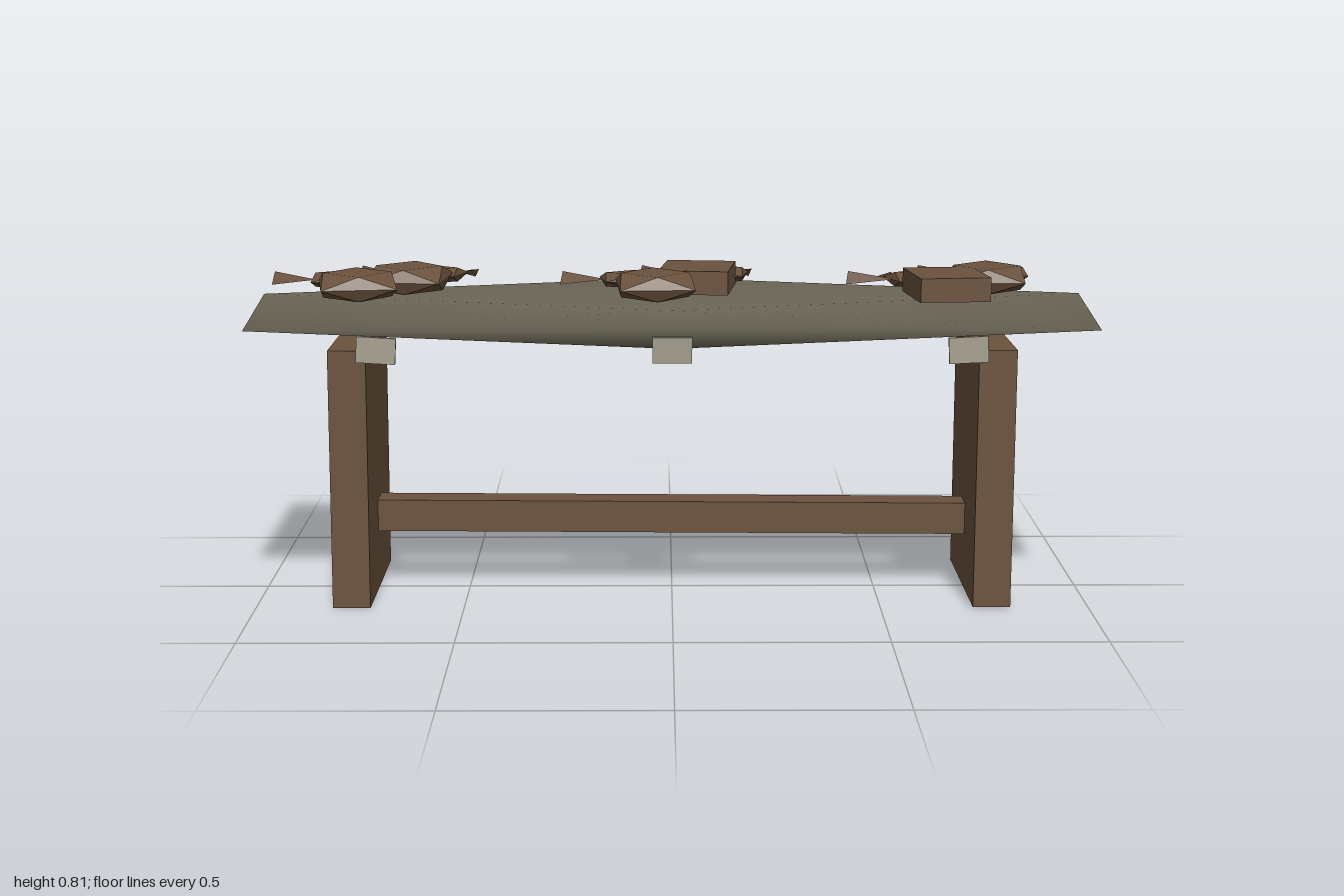
import * as THREE from 'three';
import { mergeVertices } from 'three/addons/utils/BufferGeometryUtils.js';
import { ConvexGeometry } from 'three/addons/geometries/ConvexGeometry.js';

const wood = new THREE.MeshStandardMaterial({ color: 0x6b523d });
wood.name = 'brown wood';
const stone = new THREE.MeshStandardMaterial({ color: 0x6b6656 });
stone.name = 'grey slab';
const pale = new THREE.MeshStandardMaterial({ color: 0xaaa594 });
pale.name = 'pale grey';

// Block whose corners are pinched to mid height; full thickness along the cross axes
function pinched(w, h, d) {
  const x = w / 2, y = h / 2, z = d / 2;
  const points = [];
  for (const s of [-1, 1]) {
    for (const t of [-1, 1]) {
      points.push(
        new THREE.Vector3(s * x, 0, t * z),
        new THREE.Vector3(s * (x - 0.008), t * y, 0),
        new THREE.Vector3(0, t * y, s * (z - 0.014)),
      );
    }
  }
  return new ConvexGeometry(points);
}

function add(parent, name, geometry, material, x, y, z, rx = 0, ry = 0, rz = 0) {
  const mesh = new THREE.Mesh(geometry, material);
  mesh.name = name;
  mesh.position.set(x, y, z);
  mesh.rotation.set(rx, ry, rz);
  parent.add(mesh);
  return mesh;
}

// Three-sided spike from one point to another; wide at its outer end when flared
function spike(parent, name, from, to, radius, flared) {
  const a = new THREE.Vector3(...from), b = new THREE.Vector3(...to);
  const dir = b.clone().sub(a);
  const geo = new THREE.ConeGeometry(radius, dir.length(), 3).toNonIndexed();
  geo.computeVertexNormals();
  const mesh = add(parent, name, geo, wood, 0, 0, 0);
  mesh.position.copy(a).add(b).multiplyScalar(0.5);
  if (flared) dir.negate();
  mesh.quaternion.setFromUnitVectors(new THREE.Vector3(0, 1, 0), dir.normalize());
}

// Forearm block, thin palm, four fingers and a thumb
function createHand({ arm, palm, turn, armTurn, box, lift }) {
  const hand = new THREE.Group();
  hand.name = 'hand';
  const armGeo = box ? new THREE.BoxGeometry(0.165, 0.056, 0.195) : pinched(0.175, 0.058, 0.2);
  add(hand, 'forearm', armGeo, wood, arm[0], 0.788, arm[1], 0, armTurn, 0);

  const palmGroup = new THREE.Group();
  palmGroup.name = 'palmAndFingers';
  palmGroup.position.set(palm[0], lift, palm[1]);
  palmGroup.rotation.set(-0.07, turn, 0);
  hand.add(palmGroup);
  add(palmGroup, 'palm', pinched(0.17, 0.034, 0.19), wood, 0, 0, 0);
  for (let i = 0; i < 4; i++) {
    const x = -0.065 + i * 0.043;
    const reach = 0.2 + [0.01, 0.03, 0.045, 0.02][i];
    spike(palmGroup, 'finger', [x, 0, -0.085],
      [x * 1.1 - 0.005 + 0.012 * (i % 2), -0.008, -reach], 0.012, i % 2 === 1);
  }
  spike(palmGroup, 'thumb', [-0.075, 0, 0.0], [-0.175, -0.004, -0.07], 0.02, true);
  return hand;
}

export function createModel() {
  const model = new THREE.Group();
  model.name = 'bench';

  // Slab top, softly shaded
  let slabGeo = pinched(2, 0.09, 0.583);
  slabGeo.deleteAttribute('normal');
  slabGeo = mergeVertices(slabGeo);
  slabGeo.computeVertexNormals();
  add(model, 'slab', slabGeo, stone, 0, 0.686, -0.027);

  // Panel legs and stretcher
  for (const s of [-1, 1]) {
    add(model, s > 0 ? 'leftLeg' : 'rightLeg', new THREE.BoxGeometry(0.09, 0.625, 0.465), wood,
      s * 0.768, 0.316, -0.024, -0.004, 0, -0.003);
  }
  add(model, 'stretcher', new THREE.BoxGeometry(1.46, 0.078, 0.08), wood, 0, 0.18, -0.03, 0, 0, -0.007);

  // Small plates hanging at the front edge
  [[-0.69, -0.06], [0, 0], [0.69, 0.05]].forEach(([x, tilt]) =>
    add(model, 'frontPlate', new THREE.BoxGeometry(0.092, 0.062, 0.008), pale,
      x, 0.641, 0.269, x === 0 ? 0.12 : 0.05, 0, tilt));

  // Pairs of hands resting above the slab
  const pairs = [
    [{ arm: [-0.735, 0.215], palm: [-0.78, 0.035], turn: 0.1, armTurn: 0.15, box: false, lift: 0.775 },
      { arm: [-0.625, 0.1], palm: [-0.6, -0.075], turn: -0.12, armTurn: -0.08, box: false, lift: 0.772 }],
    [{ arm: [-0.04, 0.222], palm: [-0.082, 0.035], turn: 0.1, armTurn: 0.07, box: false, lift: 0.775 },
      { arm: [0.06, 0.1], palm: [0.096, -0.078], turn: -0.1, armTurn: -0.12, box: true, lift: 0.772 }],
    [{ arm: [0.64, 0.222], palm: [0.612, 0.035], turn: 0.13, armTurn: 0.12, box: true, lift: 0.775 },
      { arm: [0.75, 0.102], palm: [0.784, -0.078], turn: -0.08, armTurn: -0.1, box: false, lift: 0.772 }],
  ];
  for (const pair of pairs) {
    const group = new THREE.Group();
    group.name = 'handPair';
    pair.forEach((spec) => group.add(createHand(spec)));
    model.add(group);
  }
  return model;
}
